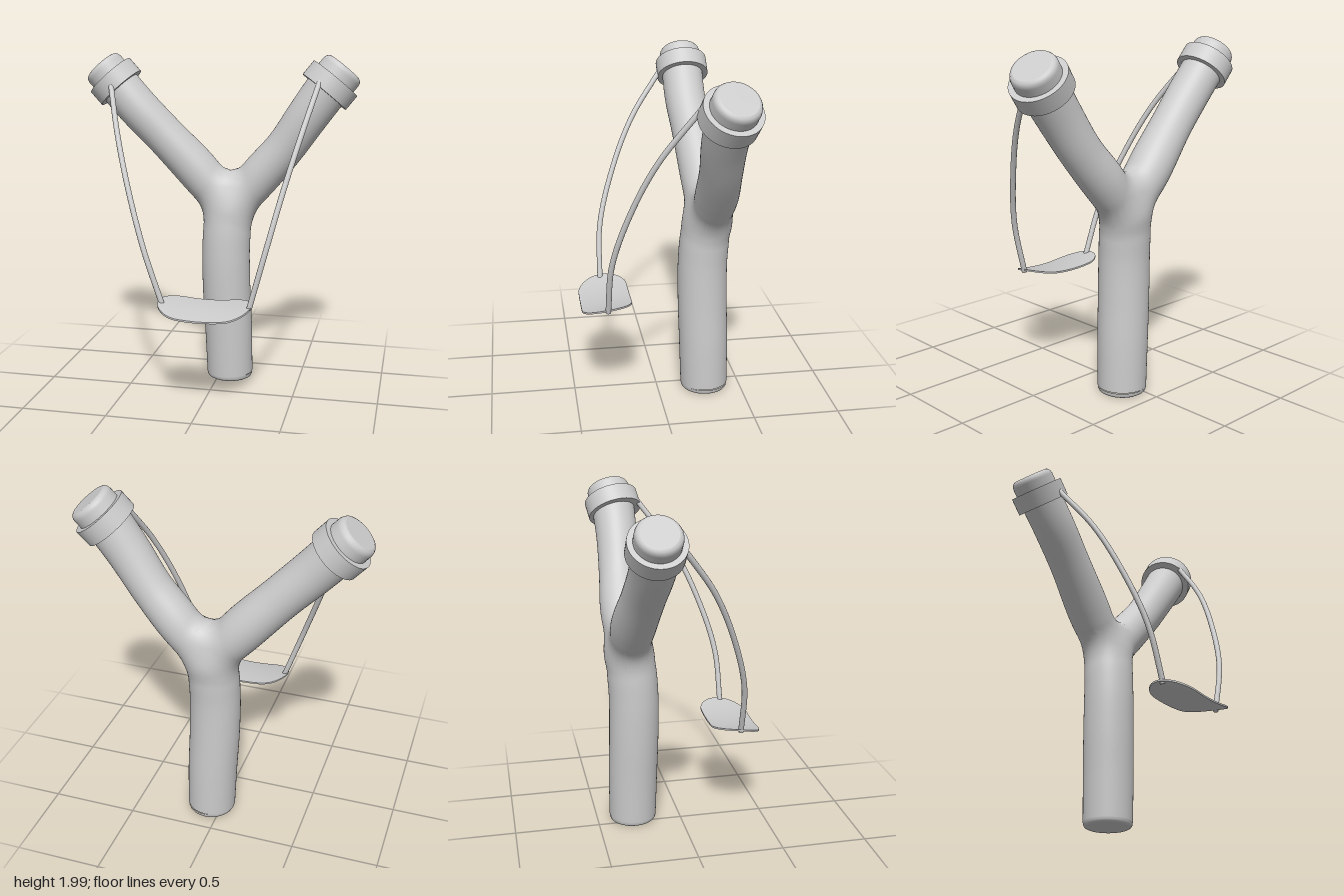
import * as THREE from 'three';

const V = (x, y, z) => new THREE.Vector3(x, y, z);
const mat = new THREE.MeshStandardMaterial({ color: 0xcccccc });
const SEG = 44, SIDES = 48, BLEND = 0.08;

// A limb is a smooth path of [x, y, z, radius] stations
function makeLimb(stations) {
  const curve = new THREE.CatmullRomCurve3(stations.map(s => V(s[0], s[1], s[2])));
  const radii = new THREE.CatmullRomCurve3(stations.map((s, i) => V(s[3], i, 0)));
  const points = [], r = [], tangents = [];
  for (let i = 0; i <= SEG; i++) {
    points.push(curve.getPoint(i / SEG));
    tangents.push(curve.getTangent(i / SEG));
    r.push(radii.getPoint(i / SEG).x);
  }
  return { points, r, tangents };
}

// Signed distance to one limb
function limbDistance(limb, p) {
  let best = Infinity;
  for (let i = 0; i < SEG; i++) {
    const a = limb.points[i], b = limb.points[i + 1];
    const dx = b.x - a.x, dy = b.y - a.y, dz = b.z - a.z;
    const px = p.x - a.x, py = p.y - a.y, pz = p.z - a.z;
    const t = Math.min(1, Math.max(0, (px * dx + py * dy + pz * dz) / (dx * dx + dy * dy + dz * dz)));
    const d = Math.hypot(px - dx * t, py - dy * t, pz - dz * t) - (limb.r[i] + (limb.r[i + 1] - limb.r[i]) * t);
    if (d < best) best = d;
  }
  return best;
}

// Limbs melt into each other at the fork
function smoothMin(a, b) {
  const h = Math.max(BLEND - Math.abs(a - b), 0) / BLEND;
  return Math.min(a, b) - h * h * BLEND / 4;
}

// Sweep a limb, pushing each ring outward to the blended surface
function limbMesh(limb, field, name) {
  const pos = [], nor = [], idx = [];
  limb.points.forEach((c, i) => {
    const T = limb.tangents[i];
    const B = V(0, 0, 1).addScaledVector(T, -T.z).normalize();
    const N = B.clone().cross(T);
    for (let j = 0; j <= SIDES; j++) {
      const a = j / SIDES * Math.PI * 2;
      const dir = N.clone().multiplyScalar(Math.cos(a)).addScaledVector(B, Math.sin(a));
      let t = limb.r[i] * 0.9;
      for (let k = 0; k < 14; k++) t = Math.min(0.22, t - field(c.clone().addScaledVector(dir, t)));
      const p = c.clone().addScaledVector(dir, t), e = 0.01;
      const n = V(...['x', 'y', 'z'].map(k => {
        const hi = p.clone(), lo = p.clone();
        hi[k] += e;
        lo[k] -= e;
        return field(hi) - field(lo);
      })).normalize();
      pos.push(p.x, p.y, p.z);
      nor.push(n.x, n.y, n.z);
      if (i < SEG && j < SIDES) {
        const q = i * (SIDES + 1) + j, u = q + SIDES + 1;
        idx.push(q, q + 1, u, q + 1, u + 1, u);
      }
    }
  });
  const g = new THREE.BufferGeometry();
  g.setAttribute('position', new THREE.Float32BufferAttribute(pos, 3));
  g.setAttribute('normal', new THREE.Float32BufferAttribute(nor, 3));
  g.setIndex(idx);
  return named(g, name);
}

function named(geometry, name) {
  const m = new THREE.Mesh(geometry, mat);
  m.name = name;
  return m;
}

const lathe = profile => new THREE.LatheGeometry(profile.map(p => new THREE.Vector2(p[0], p[1])), 48);

// Rounded arm end and the raised collar around it
function armEnd(center, dir, r, collarR, side) {
  const g = new THREE.Group();
  g.name = side + 'ArmEnd';
  const L = 0.133;
  g.add(named(lathe([[r, -0.03], [r, L - 0.035], [r - 0.004, L - 0.018], [r - 0.012, L - 0.006],
    [r - 0.025, L], [r - 0.027, L], [0, L]]), side + 'Tip'));
  g.add(named(new THREE.CylinderGeometry(collarR, collarR, 0.1, 48), side + 'Collar'));
  g.position.copy(center);
  g.quaternion.setFromUnitVectors(V(0, 1, 0), dir.normalize());
  return g;
}

// Elastic band with small end discs
function band(points, name) {
  const g = new THREE.Group(), r = 0.016;
  g.name = name;
  const curve = new THREE.CatmullRomCurve3(points);
  g.add(named(new THREE.TubeGeometry(curve, 48, r, 12), name + 'Cord'));
  [0, 1].forEach(t => {
    const cap = named(new THREE.CircleGeometry(r, 12), name + 'End');
    cap.position.copy(curve.getPoint(t));
    cap.quaternion.setFromUnitVectors(V(0, 0, 1), curve.getTangent(t).multiplyScalar(t ? 1 : -1));
    g.add(cap);
  });
  return g;
}

// Thin sagging pad with rounded ends
function pouch() {
  const g = new THREE.BoxGeometry(2, 0.01, 2, 40, 1, 12), p = g.attributes.position;
  for (let i = 0; i < p.count; i++) {
    const u = Math.sin(p.getX(i) * Math.PI / 2), x = u * 0.267;
    const k = Math.max(0, (Math.abs(x) - 0.125) / 0.142);
    const z = p.getZ(i) * 0.145 * Math.sqrt(Math.max(0, 1 - k * k));
    const y = 0.607 + 0.033 * u * u - z * 0.14 - z * z * 0.4 + p.getY(i);
    p.setXYZ(i, 0.034 + x, y, 0.31 + z);
  }
  g.computeVertexNormals();
  return named(g, 'pouch');
}

export function createModel() {
  const model = new THREE.Group();
  model.name = 'slingshot';

  // Forked wooden frame
  const limbs = {
    handle: makeLimb([[0.065, 0.03, -0.285, 0.141], [0.057, 0.3, -0.28, 0.145], [0.045, 0.55, -0.273, 0.146],
      [0.04, 0.8, -0.271, 0.145], [0.047, 1.0, -0.283, 0.14], [0.06, 1.18, -0.3, 0.1]]),
    rightArm: makeLimb([[0.03, 1.08, -0.295, 0.105], [-0.12, 1.27, -0.293, 0.127], [-0.335, 1.5, -0.268, 0.12],
      [-0.5, 1.67, -0.253, 0.122], [-0.635, 1.82, -0.255, 0.123]]),
    leftArm: makeLimb([[0.09, 1.08, -0.3, 0.105], [0.235, 1.265, -0.305, 0.122], [0.39, 1.45, -0.293, 0.117],
      [0.52, 1.64, -0.28, 0.122], [0.645, 1.82, -0.282, 0.128]]),
  };
  const all = Object.values(limbs);
  const field = p => all.map(l => limbDistance(l, p)).reduce(smoothMin);
  for (const [name, limb] of Object.entries(limbs)) model.add(limbMesh(limb, field, name));

  // Rounded foot of the handle
  const foot = named(lathe([[0, 0], [0.122, 0], [0.124, 0], [0.134, 0.006], [0.139, 0.016], [0.141, 0.031]]), 'handleFoot');
  foot.position.set(0.065, 0, -0.285);
  model.add(foot);

  // Arm ends
  model.add(armEnd(V(-0.635, 1.82, -0.255), V(-0.67, 0.74, 0.01), 0.124, 0.155, 'right'));
  model.add(armEnd(V(0.645, 1.82, -0.282), V(0.61, 0.77, -0.17), 0.13, 0.162, 'left'));

  // Bands and pouch
  model.add(band([V(-0.622, 1.81, -0.115), V(-0.53, 1.55, 0.07), V(-0.435, 1.27, 0.2),
    V(-0.32, 0.94, 0.298), V(-0.21, 0.625, 0.315)], 'rightBand'));
  model.add(band([V(0.602, 1.855, -0.145), V(0.525, 1.56, 0.065), V(0.45, 1.27, 0.2),
    V(0.37, 0.94, 0.298), V(0.288, 0.625, 0.315)], 'leftBand'));
  model.add(pouch());
  return model;
}
